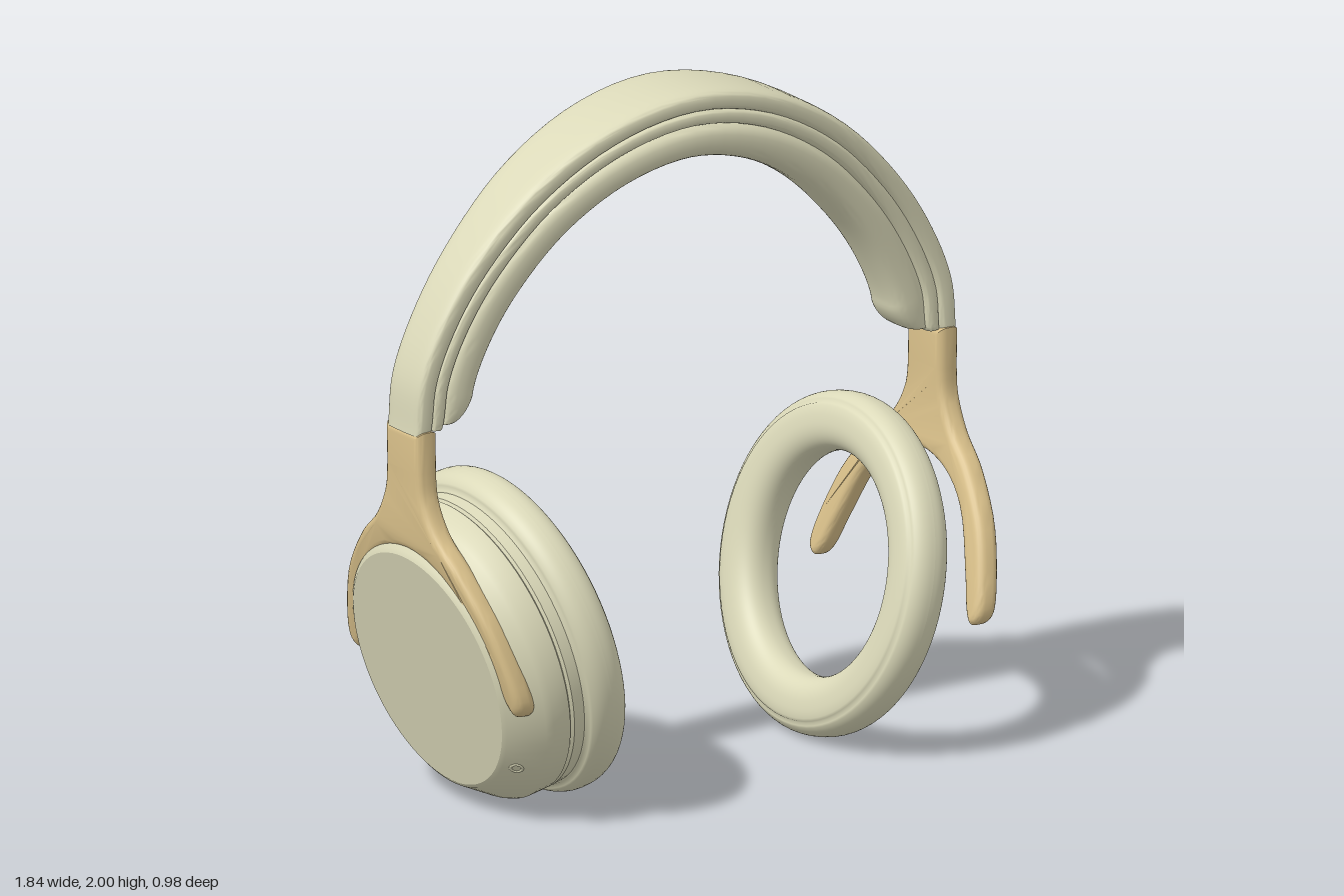
import * as THREE from 'three';
import { toCreasedNormals } from 'three/addons/utils/BufferGeometryUtils.js';

const V2 = (x, y) => new THREE.Vector2(x, y);
const cream = new THREE.MeshStandardMaterial({ color: 0xdbd9b9 });
const tan = new THREE.MeshStandardMaterial({ color: 0xd9c08a });
const TILT = THREE.MathUtils.degToRad(103.6);

function mesh(name, geometry, material = cream) {
  const m = new THREE.Mesh(geometry, material);
  m.name = name;
  return m;
}

// rounded closed outline: exponent 1 is an ellipse, smaller is boxier
function roundPoint(a, e) {
  const f = (v) => Math.sign(v) * Math.pow(Math.abs(v), e);
  return [f(Math.cos(a)), f(Math.sin(a))];
}

// outer line of the headband, from one end over the top to the other
const half = [[0.92, 1.13], [0.905, 1.28], [0.84, 1.44], [0.72, 1.62], [0.52, 1.815], [0.27, 1.95]];
const bandCurve = new THREE.CatmullRomCurve3([
  ...half.map(([x, y]) => new THREE.Vector3(-x, y, 0)),
  new THREE.Vector3(0, 2, 0),
  ...half.slice().reverse().map(([x, y]) => new THREE.Vector3(x, y, 0)),
], false, 'centripetal');

// one layer of the band, between depths d0 and d1 below the outer line
function bandLayer({ d0, d1, width, e, start, taper }) {
  const steps = 72, sides = 40, pos = [], idx = [];
  for (let i = 0; i <= steps; i++) {
    const s = (1 - Math.cos((Math.PI * i) / steps)) / 2;
    const u = start + (1 - 2 * start) * s;
    const p = bandCurve.getPointAt(u), t = bandCurve.getTangentAt(u);
    const k = Math.max(0, (p.y - 1.35) / 0.65);
    const end = Math.min(1, Math.min(s, 1 - s) / 0.035);
    const round = 1 - taper * (1 - Math.sqrt(1 - (1 - end) ** 2));
    const w = (0.082 + 0.053 * k * k) * width * (0.75 + 0.25 * round);
    const h = ((d1 - d0) / 2) * round;
    for (let j = 0; j < sides; j++) {
      const [c, z] = roundPoint((j / sides) * Math.PI * 2, e);
      const d = d0 + h + c * h;
      pos.push(p.x + t.y * d, p.y - t.x * d, z * w);
    }
  }
  for (let i = 0; i < steps; i++) {
    for (let j = 0; j < sides; j++) {
      const a = i * sides + j, b = i * sides + ((j + 1) % sides);
      idx.push(a, a + sides, b, b, a + sides, b + sides);
    }
  }
  const last = steps * sides;
  for (let j = 1; j < sides - 1; j++) {
    idx.push(0, j, j + 1, last, last + j + 1, last + j);
  }
  const g = new THREE.BufferGeometry();
  g.setAttribute('position', new THREE.Float32BufferAttribute(pos, 3));
  g.setIndex(idx);
  return toCreasedNormals(g, 0.7);
}

function headband() {
  const g = new THREE.Group();
  g.name = 'headband';
  g.add(
    mesh('bandShell', bandLayer({ d0: 0, d1: 0.066, width: 1, e: 0.5, start: 0, taper: 0.12 })),
    mesh('bandTrim', bandLayer({ d0: 0.055, d1: 0.108, width: 0.95, e: 0.5, start: 0.004, taper: 0.2 })),
    mesh('bandCushion', bandLayer({ d0: 0.09, d1: 0.21, width: 0.96, e: 0.7, start: 0.008, taper: 0.65 })),
  );
  return g;
}

// forked arm: flat outline with soft edges, bent inward below the shoulder
function yokeGeometry() {
  const side = [[0.088, 1.02], [0.098, 0.94], [0.15, 0.85], [0.243, 0.767], [0.35, 0.635], [0.413, 0.49],
    [0.43, 0.4], [0.397, 0.365], [0.362, 0.4], [0.323, 0.49], [0.243, 0.65], [0.138, 0.738]];
  const shape = new THREE.Shape();
  shape.moveTo(-0.088, 1.14);
  shape.lineTo(0.088, 1.14);
  shape.lineTo(0.088, 1.02);
  shape.splineThru([
    ...side.slice(1).map(([x, y]) => V2(x, y)),
    V2(0, 0.772),
    ...side.slice().reverse().map(([x, y]) => V2(-x, y)),
  ]);
  const g = new THREE.ExtrudeGeometry(shape, {
    depth: 0.02, bevelEnabled: true, bevelThickness: 0.025, bevelSize: 0.025,
    bevelOffset: -0.025, bevelSegments: 5, curveSegments: 4,
  });
  g.translate(0, 0, -0.01);
  g.rotateY(Math.PI / 2);
  const p = g.attributes.position;
  for (let i = 0; i < p.count; i++) {
    const d = 0.82 - p.getY(i);
    p.setX(i, p.getX(i) + 0.885 - 0.125 * (Math.sqrt(d * d + 0.01) + d));
  }
  return toCreasedNormals(g, 0.6);
}

// ear cushion ring with a shallow seam on both faces
function cushionGeometry() {
  const pts = [], n = 64;
  for (let i = 0; i <= n; i++) {
    const [c, s] = roundPoint((i / n) * Math.PI * 2, 0.85);
    const seam = i === 10 || i === n - 10 ? 0.94 : 1;
    pts.push(V2(0.405 + 0.085 * c * seam, 0.075 * s * seam));
  }
  return new THREE.LatheGeometry(pts, 80);
}

// group whose local y points out of the ear and local x points up
function earGroup(name, sign) {
  const g = new THREE.Group();
  g.name = name;
  g.position.set(sign * 0.545, 0.48, 0);
  g.rotation.z = -sign * TILT;
  g.add(mesh('earCushion', cushionGeometry()));
  return g;
}

function addHousing(ear) {
  // stepped dish inside, drum with a groove and chamfered flat back outside
  const profile = [[0, 0.17], [0.185, 0.17], [0.2, 0.163], [0.25, 0.12], [0.27, 0.108], [0.33, 0.095],
    [0.345, 0.05], [0.43, 0.05], [0.445, 0.06], [0.447, 0.105], [0.438, 0.112], [0.447, 0.119],
    [0.446, 0.175], [0.436, 0.195], [0.368, 0.283], [0.355, 0.291], [0, 0.291]];
  const lathe = new THREE.LatheGeometry(profile.map(([r, y]) => V2(r, y)), 80);
  ear.add(mesh('earHousing', toCreasedNormals(lathe, 0.5)));

  // small ring-shaped port on the chamfer
  const port = mesh('port', new THREE.TorusGeometry(0.017, 0.005, 10, 24));
  port.position.set(-0.247, 0.25, 0.303);
  port.lookAt(-0.247 - 0.5, 0.25 + 0.62, 0.303 + 0.61);
  ear.add(port);
}

export function createModel() {
  const model = new THREE.Group();
  model.name = 'headphones';
  model.add(headband());

  const arm = yokeGeometry();
  const leftYoke = mesh('leftYoke', arm, tan);
  const rightYoke = mesh('rightYoke', arm, tan);
  rightYoke.rotation.y = Math.PI;
  model.add(leftYoke, rightYoke);

  // only the right ear carries a housing; the left is an open ring
  const rightEar = earGroup('rightEar', -1);
  addHousing(rightEar);
  model.add(earGroup('leftEar', 1), rightEar);
  return model;
}
